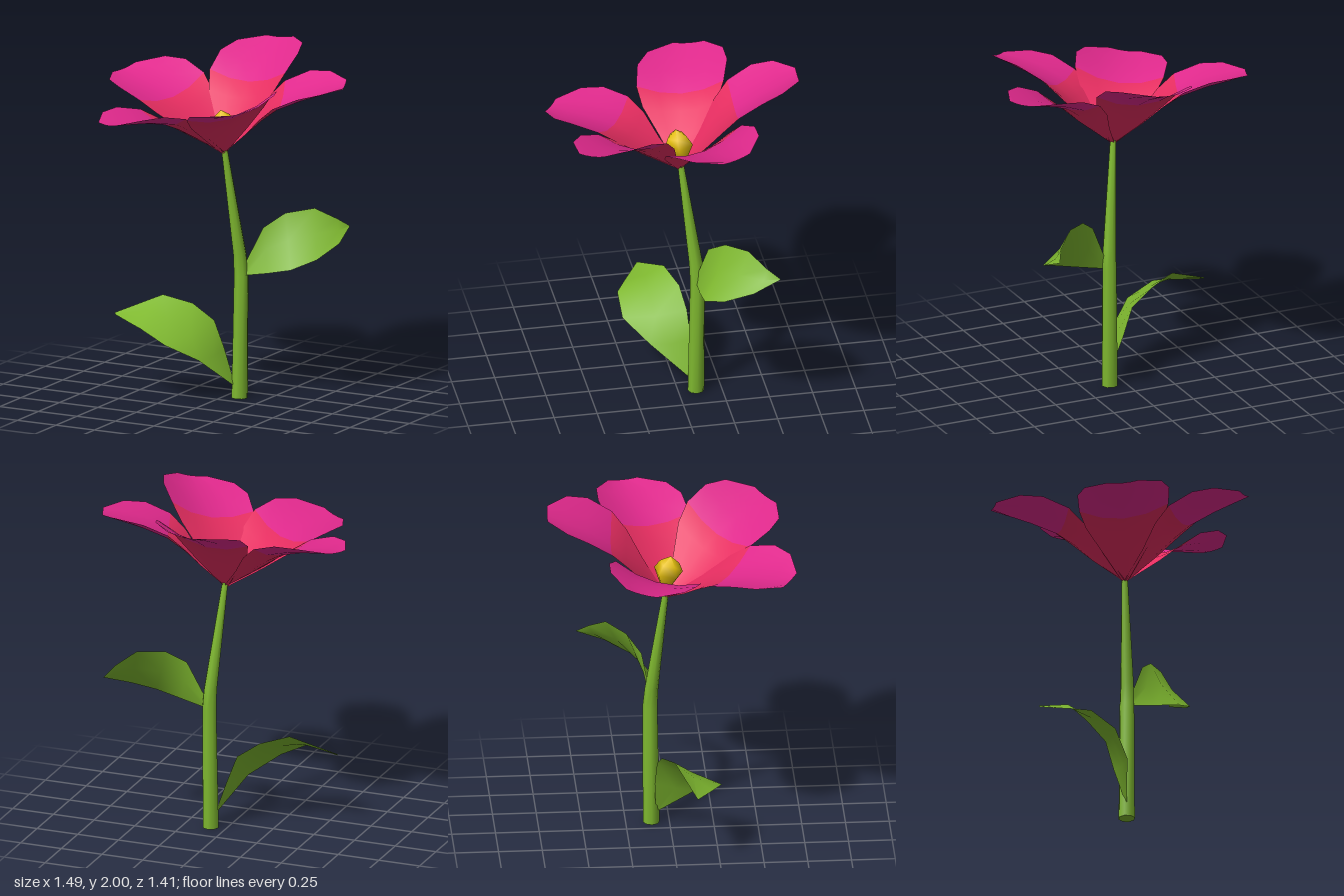
import * as THREE from 'three';
import { mergeVertices } from 'three/addons/utils/BufferGeometryUtils.js';

const mat = (name, color) => {
  const m = new THREE.MeshStandardMaterial({ color, side: THREE.DoubleSide });
  m.name = name;
  return m;
};

// Smooth surface through rows of points; rows before `split` use material 0, the rest material 1
function sheet(name, rows, materials, split = rows.length - 1) {
  const n = rows[0].length, index = [];
  for (let i = 0; i < rows.length - 1; i++)
    for (let j = 0; j < n - 1; j++) {
      const a = i * n + j, b = a + n;
      index.push(a, b, a + 1, b, b + 1, a + 1);
    }
  let geo = new THREE.BufferGeometry();
  geo.setAttribute('position', new THREE.Float32BufferAttribute(rows.flat(2), 3));
  geo.setIndex(index);
  geo = mergeVertices(geo);
  const perRow = (n - 1) * 6;
  geo.addGroup(0, split * perRow, 0);
  if (split < rows.length - 1) geo.addGroup(split * perRow, (rows.length - 1 - split) * perRow, 1);
  geo.computeVertexNormals();
  const mesh = new THREE.Mesh(geo, materials);
  mesh.name = name;
  return mesh;
}

// Leaf from pairs of edge points, with a slightly sunken midrib
function leaf(name, pairs, sag, material) {
  const rows = pairs.map(([a, b], i) => {
    const depth = i === 0 || i === pairs.length - 1 ? 0 : 1;
    const mid = a.map((v, k) => (v + b[k]) / 2 + sag[k] * depth);
    return [a, mid, b];
  });
  return sheet(name, rows, [material]);
}

// Cupped petal pointing along +x: [distance, half width, height]
const PETAL = [
  [0, 0.015, 0], [0.15, 0.125, 0.13], [0.26, 0.217, 0.223], [0.355, 0.255, 0.288],
  [0.5, 0.262, 0.345], [0.62, 0.22, 0.38], [0.73, 0.09, 0.41],
];
function petal([angle, length, lift, roll], materials) {
  const rows = PETAL.map(([r, w, h]) => [-1, -0.5, 0, 0.5, 1].map((t) =>
    [r * length, h + (lift * r) / 0.73 + (t * w) ** 2 + roll * t * w, t * w]));
  const mesh = sheet('petal', rows, materials, 3);
  mesh.rotation.y = -THREE.MathUtils.degToRad(angle);
  return mesh;
}

export function createModel() {
  const green = mat('leaf green', 0x7eb72f);
  const pink = mat('petal pink', 0xe0298c);
  const red = mat('petal red', 0xe52d60);
  const yellow = mat('centre yellow', 0xe6c00e);
  const model = new THREE.Group();
  model.name = 'flower';

  // Stem: straight below, bent and tapering above
  const rings = [
    [0.092, 0, -0.103, 0.048], [0.098, 0.72, -0.111, 0.043],
    [0.094, 0.84, -0.102, 0.039], [0.035, 1.47, -0.025, 0.018],
  ];
  const sides = 8;
  model.add(sheet('stem', rings.map(([x, y, z, r]) =>
    Array.from({ length: sides + 1 }, (_, i) => {
      const a = (i / sides) * Math.PI * 2;
      return [x + r * Math.cos(a), y, z - r * Math.sin(a)];
    }).reverse()), [green]));
  const cap = new THREE.Mesh(new THREE.CircleGeometry(0.048, sides), green);
  cap.name = 'stemBase';
  cap.rotation.x = Math.PI / 2;
  cap.position.set(0.092, 0, -0.103);
  model.add(cap);

  // Leaves: back edge and front edge from base to tip
  model.add(leaf('lowerLeaf', [
    [[0.07, 0.09, -0.08], [0.07, 0.08, -0.06]],
    [[0.0, 0.28, -0.09], [-0.04, 0.25, 0.14]],
    [[-0.06, 0.44, -0.08], [-0.19, 0.35, 0.27]],
    [[-0.19, 0.53, -0.06], [-0.35, 0.43, 0.27]],
    [[-0.35, 0.575, 0], [-0.45, 0.44, 0.21]],
    [[-0.6, 0.465, 0.11], [-0.6, 0.455, 0.115]],
  ], [0.01, -0.01, 0], green));
  model.add(leaf('upperLeaf', [
    [[0.13, 0.8, -0.11], [0.13, 0.72, -0.1]],
    [[0.22, 1.0, -0.15], [0.28, 0.75, -0.09]],
    [[0.32, 1.08, -0.23], [0.43, 0.785, -0.09]],
    [[0.45, 1.1, -0.34], [0.55, 0.84, -0.18]],
    [[0.55, 1.03, -0.43], [0.61, 0.91, -0.34]],
    [[0.59, 0.98, -0.5], [0.592, 0.975, -0.495]],
  ], [-0.01, 0, -0.02], green));

  // Blossom, tilted along the top of the stem
  const blossom = new THREE.Group();
  blossom.name = 'blossom';
  blossom.position.set(0.035, 1.445, -0.02);
  blossom.quaternion.setFromUnitVectors(
    new THREE.Vector3(0, 1, 0), new THREE.Vector3(-0.09, 1, 0.14).normalize());
  // Petals: angle, length factor, tip lift, sideways roll
  const petals = [
    [-87, 1.03, 0.025, 0], [-20, 1.03, -0.08, 0], [48, 0.99, 0.03, -0.08],
    [120, 1, -0.03, -0.08], [199, 1.04, -0.005, 0],
  ];
  for (const p of petals) blossom.add(petal(p, [red, pink]));

  // Five-sided centre
  const profile = [[0, 0.05], [0.04, 0.07], [0.087, 0.155], [0.058, 0.21], [0, 0.255]];
  const centre = new THREE.Mesh(
    new THREE.LatheGeometry(profile.map(([r, y]) => new THREE.Vector2(r, y)), 5), yellow);
  centre.name = 'flowerCentre';
  centre.position.set(0.015, 0, -0.012);
  centre.rotation.y = 0.2;
  blossom.add(centre);
  model.add(blossom);
  return model;
}
